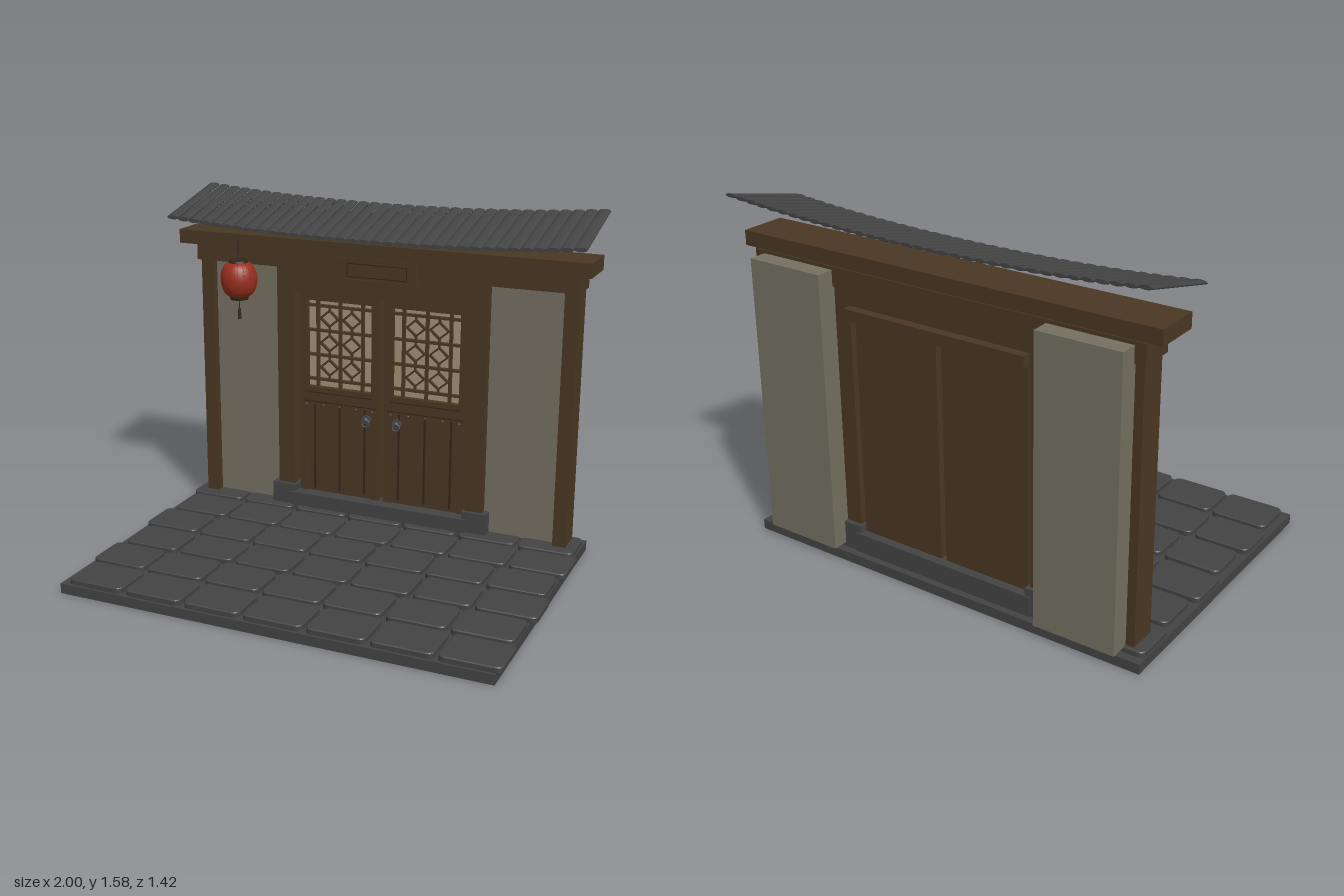
import * as THREE from 'three';

const mat = (name, color, side = THREE.FrontSide) => {
  const m = new THREE.MeshStandardMaterial({ color, side });
  m.name = name;
  return m;
};

export function createModel() {
  const wood = mat('brown wood', 0x4a3823);
  const darkWood = mat('dark wood', 0x33261a);
  const stone = mat('grey stone', 0x444444);
  const roofGrey = mat('roof tile grey', 0x444444);
  const plaster = mat('plaster', 0x757061);
  const paper = mat('window paper', 0xa3937a);
  const red = mat('lantern red', 0x98301f);
  const metal = mat('dark metal', 0x4a4d50);

  const root = new THREE.Group();
  root.name = 'gateway';
  const CX = -0.0075; // middle of the gate
  const group = (name, parent = root) => {
    const g = new THREE.Group();
    g.name = name;
    parent.add(g);
    return g;
  };
  const add = (name, geo, m, parent = root) => {
    const mesh = new THREE.Mesh(geo, m);
    mesh.name = name;
    parent.add(mesh);
    return mesh;
  };
  // Box given by its limits
  const box = (name, m, x0, x1, y0, y1, z0, z1, parent = root) => {
    const b = add(name, new THREE.BoxGeometry(x1 - x0, y1 - y0, z1 - z0), m, parent);
    b.position.set((x0 + x1) / 2, (y0 + y1) / 2, (z0 + z1) / 2);
    return b;
  };

  // Courtyard slab and staggered paving
  box('baseSlab', stone, -0.985, 0.97, 0, 0.045, -0.675, 0.71);
  const paving = group('paving');
  const pavingStone = (w, d) => {
    const x = w / 2 - 0.004, y = d / 2 - 0.004, r = 0.024;
    const s = new THREE.Shape();
    s.moveTo(-x + r, -y);
    s.lineTo(x - r, -y);
    s.quadraticCurveTo(x, -y, x, -y + r);
    s.lineTo(x, y - r);
    s.quadraticCurveTo(x, y, x - r, y);
    s.lineTo(-x + r, y);
    s.quadraticCurveTo(-x, y, -x, y - r);
    s.lineTo(-x, -y + r);
    s.quadraticCurveTo(-x, -y, -x + r, -y);
    const g = new THREE.ExtrudeGeometry(s, {
      depth: 0.022, bevelThickness: 0.004, bevelSize: 0.004, bevelSegments: 1, curveSegments: 4,
    });
    return g.rotateX(-Math.PI / 2);
  };
  for (let row = 0; row < 6; row++) {
    for (let col = 0; col < 7; col++) {
      const wobble = Math.sin(row * 5.1 + col * 2.7) * 0.006;
      const t = add('pavingStone', pavingStone(0.262 + wobble, 0.203), stone, paving);
      t.position.set((row % 2 ? -0.848 : -0.82) + col * 0.2805, 0.044, 0.597 - row * 0.2265);
    }
  }

  // Roof: round tiles rising to the back and curling up at both ends
  const roof = group('roof');
  const COUNT = 35, PITCH = 1.985 / COUNT;
  const slope = new THREE.Matrix4().set(1, 0, 0, 0, 0, 1, -0.247, 0, 0, 0, 1, 0, 0, 0, 0, 1);
  const roofTile = new THREE.CylinderGeometry(0.03, 0.027, 0.405, 12)
    .rotateX(Math.PI / 2).scale(1, 0.32, 1).applyMatrix4(slope);
  for (let i = 0; i < COUNT; i++) {
    const x = (i - (COUNT - 1) / 2) * PITCH;
    const t = add('roofTile', roofTile, roofGrey, roof);
    t.position.set(CX + x, 1.483 + 0.045 * Math.pow(Math.abs(x), 2.2), -0.5125);
  }

  // Beams and plaque
  box('topBeam', wood, -1, 0.985, 1.335, 1.4, -0.625, -0.415);
  box('lowerBeam', wood, -0.94, 0.925, 1.25, 1.335, -0.63, -0.473);
  box('headerBoard', wood, -0.455, 0.44, 1.18, 1.25, -0.62, -0.5);
  box('doorLintel', wood, -0.445, 0.43, 1.13, 1.18, -0.66, -0.515);
  const plaque = group('plaque');
  box('plaqueBoard', wood, -0.17, 0.155, 1.225, 1.312, -0.473, -0.463, plaque);
  for (const [x0, x1, y0, y1] of [[-0.2, 0.185, 1.308, 1.325], [-0.2, 0.185, 1.21, 1.227],
    [-0.2, -0.17, 1.227, 1.308], [0.155, 0.185, 1.227, 1.308]]) {
    box('plaqueFrame', wood, x0, x1, y0, y1, -0.51, -0.456, plaque);
  }
  box('plaqueInset', darkWood, -0.155, 0.14, 1.235, 1.3, -0.464, -0.462, plaque);
  box('plaqueField', wood, -0.15, 0.135, 1.24, 1.295, -0.463, -0.461, plaque);

  // Columns, walls, jambs and their stone feet
  for (const s of [-1, 1]) {
    const sideBox = (name, m, a, b, ...r) =>
      box(name, m, CX + Math.min(s * a, s * b), CX + Math.max(s * a, s * b), ...r);
    sideBox('outerColumn', wood, 0.862, 0.923, 0.045, 1.25, -0.62, -0.495);
    sideBox('wall', plaster, 0.515, 0.885, 0.065, 1.32, -0.71, -0.535);
    sideBox('doorJamb', wood, 0.438, 0.522, 0.17, 1.25, -0.62, -0.5);
    sideBox('jambFoot', stone, 0.428, 0.547, 0.045, 0.17, -0.64, -0.48);
  }
  box('threshold', stone, -0.46, 0.445, 0.045, 0.135, -0.645, -0.47);

  // One door leaf, centred on its own x = 0
  const makeDoor = (name, cx, handleSide) => {
    const d = group(name);
    d.position.x = cx;
    const W = 0.205;
    box('backBoard', wood, -W, W, 0.135, 1.17, -0.605, -0.565, d);
    box('windowPaper', paper, -0.168, 0.168, 0.665, 1.1, -0.565, -0.558, d);
    // frame
    for (const s of [-1, 1]) {
      box('stile', wood, Math.min(s * W, s * 0.165), Math.max(s * W, s * 0.165), 0.135, 1.17, -0.565, -0.53, d);
    }
    box('topRail', wood, -0.165, 0.165, 1.092, 1.17, -0.565, -0.53, d);
    box('middleRail', wood, -0.165, 0.165, 0.595, 0.668, -0.565, -0.53, d);
    box('railMoulding', darkWood, -0.17, 0.17, 0.638, 0.643, -0.531, -0.529, d);
    box('railMoulding', darkWood, -0.19, 0.19, 0.592, 0.597, -0.531, -0.529, d);
    // lower planks with dark grooves and studs
    box('lowerPanel', wood, -0.165, 0.165, 0.135, 0.595, -0.565, -0.538, d);
    for (const x of [-0.13, 0, 0.13]) {
      box('groove', darkWood, x - 0.005, x + 0.005, 0.15, 0.58, -0.539, -0.535, d);
    }
    for (const x of [-0.17, -0.085, 0, 0.085, 0.17]) {
      const stud = add('stud', new THREE.SphereGeometry(0.006, 8, 6), metal, d);
      stud.position.set(x, 0.577, Math.abs(x) > 0.165 ? -0.53 : -0.538);
    }
    // lattice
    const lattice = group('lattice', d);
    for (const x of [-0.115, 0, 0.115]) {
      box('latticeUpright', wood, x - 0.006, x + 0.006, 0.668, 1.092, -0.558, -0.537, lattice);
    }
    for (const y of [0.705, 0.825, 0.945, 1.065]) {
      box('latticeBar', wood, -0.165, 0.165, y - 0.006, y + 0.006, -0.558, -0.539, lattice);
    }
    const shape = new THREE.Shape();
    const diamond = (p, r) => {
      p.moveTo(r, 0); p.lineTo(0, r * 0.85); p.lineTo(-r, 0); p.lineTo(0, -r * 0.85); p.closePath();
    };
    diamond(shape, 0.052);
    const hole = new THREE.Path();
    diamond(hole, 0.038);
    shape.holes.push(hole);
    const diamondGeo = new THREE.ExtrudeGeometry(shape, { depth: 0.014, bevelEnabled: false });
    for (const x of [-0.0575, 0.0575]) {
      for (const y of [0.765, 0.885, 1.005]) {
        add('latticeDiamond', diamondGeo, wood, lattice).position.set(x, y, -0.557);
        for (const s of [-1, 1]) {
          box('latticeTie', wood, x - 0.004, x + 0.004, y + s * 0.049 - 0.01, y + s * 0.049 + 0.01, -0.558, -0.544, lattice);
        }
      }
    }
    // handle
    const handle = group('handle', d);
    handle.position.set(handleSide * 0.14, 0.535, -0.538);
    const plate = add('handlePlate', new THREE.CylinderGeometry(0.024, 0.024, 0.01, 8), metal, handle);
    plate.rotation.x = Math.PI / 2;
    add('handleBoss', new THREE.SphereGeometry(0.012, 10, 8), metal, handle).position.z = 0.01;
    add('handleRing', new THREE.TorusGeometry(0.018, 0.004, 6, 16), metal, handle).position.set(0, -0.015, 0.014);
  };
  makeDoor('rightDoor', CX - 0.2155, 1);
  makeDoor('leftDoor', CX + 0.2195, -1);

  // Hanging lantern
  const lantern = group('lantern');
  lantern.position.set(-0.668, 1.195, -0.38);
  const profile = [[0.045, -0.08], [0.066, -0.065], [0.08, -0.035], [0.085, 0],
    [0.08, 0.035], [0.066, 0.065], [0.045, 0.08]];
  const curve = new THREE.SplineCurve(profile.map(p => new THREE.Vector2(...p)));
  add('lanternShade', new THREE.LatheGeometry(curve.getPoints(14), 32), red, lantern);
  const ribPath = new THREE.CatmullRomCurve3(profile.map(([r, y]) => new THREE.Vector3(r, y, 0)));
  const ribGeo = new THREE.TubeGeometry(ribPath, 14, 0.0015, 4);
  for (let i = 0; i < 16; i++) {
    add('lanternRib', ribGeo, red, lantern).rotation.y = (i / 16) * Math.PI * 2;
  }
  const rod = (name, r0, r1, y0, y1, m) => {
    add(name, new THREE.CylinderGeometry(r1, r0, y1 - y0, 16), m, lantern).position.y = (y0 + y1) / 2;
  };
  rod('topCap', 0.046, 0.042, 0.077, 0.09, darkWood);
  rod('bottomCap', 0.042, 0.046, -0.095, -0.077, darkWood);
  rod('cord', 0.003, 0.003, 0.09, 0.185, darkWood);
  rod('tasselCord', 0.003, 0.003, -0.14, -0.095, darkWood);
  rod('tassel', 0.009, 0.006, -0.19, -0.14, darkWood);

  return root;
}
